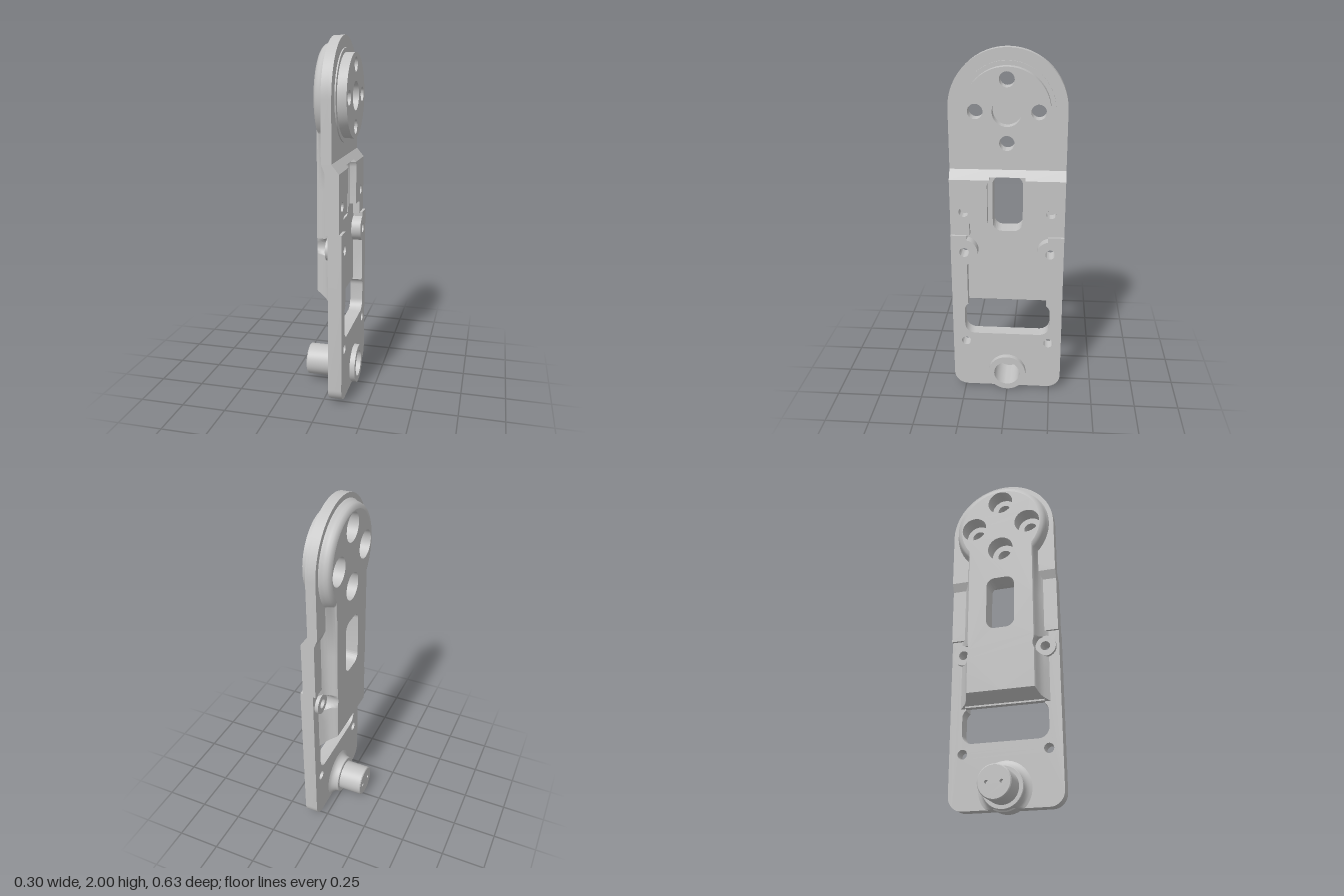
import * as THREE from 'three';
import { toCreasedNormals, mergeVertices } from 'three/addons/utils/BufferGeometryUtils.js';

const HEAD_Y = 1.686, PIN_Y = 0.123, SCREW_Z = 0.24, SCREW_Y = 0.89;

// Closed circle path, used both as outline and as hole
function circle(z, y, r, Type = THREE.Path) {
  const p = new Type();
  p.absarc(z, y, r, 0, Math.PI * 2, false);
  return p;
}

// Rounded rectangular path
function roundedSlot(w, y0, y1, r) {
  const p = new THREE.Path();
  p.absarc(w - r, y0 + r, r, -Math.PI / 2, 0, false);
  p.absarc(w - r, y1 - r, r, 0, Math.PI / 2, false);
  p.absarc(-w + r, y1 - r, r, Math.PI / 2, Math.PI, false);
  p.absarc(-w + r, y0 + r, r, Math.PI, Math.PI * 1.5, false);
  return p;
}

// Closed outline symmetric about z = 0 from its positive half
function mirrored(half) {
  const other = half.filter(p => Math.abs(p[0]) > 1e-6).reverse().map(([z, y]) => [-z, y]);
  return [...half, ...other];
}
const shapeOf = pts => new THREE.Shape(pts.map(p => new THREE.Vector2(p[0], p[1])));

function arcPoints(cz, cy, r, a0, a1, n) {
  return Array.from({ length: n + 1 }, (_, i) => {
    const a = a0 + (a1 - a0) * i / n;
    return [cz + r * Math.cos(a), cy + r * Math.sin(a)];
  });
}

// Four bolt holes around the head centre
const boltHoles = r => [0, 1, 2, 3].map(i => {
  const a = i * Math.PI / 2;
  return circle(0.165 * Math.cos(a), HEAD_Y + 0.165 * Math.sin(a), r);
});

// Outline of the raised back at one level: stem, screw notches and round head
function backOutline({ w, r, bot }) {
  const half = [[0, bot], [w, bot], [w, 0.75]];
  const nr = 0.055;
  half.push([w, SCREW_Y - nr - 0.001]);
  for (const [z, y] of arcPoints(SCREW_Z, SCREW_Y, nr, Math.PI * 1.5, Math.PI / 2, 16)) {
    half.push([Math.min(w, z), y]);
  }
  half.push([w, SCREW_Y + nr + 0.001], [w, 1.2]);
  const arc = arcPoints(0, HEAD_Y, r, -Math.acos(w / r), Math.PI / 2, 36);
  arc[36][0] = 0;
  return mirrored([...half, ...arc]);
}

export function createModel() {
  const group = new THREE.Group();
  const grey = new THREE.MeshStandardMaterial({ color: 0xc4c4c4, side: THREE.DoubleSide });
  grey.name = 'metal grey';

  function add(name, geometry, crease = 0.5) {
    const mesh = new THREE.Mesh(toCreasedNormals(geometry, crease), grey);
    mesh.name = name;
    group.add(mesh);
  }
  // Plate lying in the z-y plane between two x positions
  function slab(name, shape, x0, x1, holes = []) {
    shape.holes.push(...holes);
    const g = new THREE.ExtrudeGeometry(shape, { depth: x1 - x0, bevelEnabled: false, curveSegments: 24 });
    g.rotateY(Math.PI / 2).translate(x0, 0, 0);
    add(name, g);
  }
  // Turned part around the pivot axis, kept above a lowest height
  function turned(name, points, lowest) {
    const g = new THREE.LatheGeometry(points.map(p => new THREE.Vector2(p[0], p[1])), 48);
    g.rotateZ(-Math.PI / 2).translate(0, PIN_Y, 0);
    const p = g.attributes.position;
    for (let i = 0; i < p.count; i++) p.setY(i, Math.max(lowest, p.getY(i)));
    add(name, g);
  }

  // Lower plate with the pocket and wide window cut in from the top
  const bossArc = arcPoints(SCREW_Z, SCREW_Y, 0.075, Math.PI * 0.56, Math.PI * 1.44, 16);
  const lowerHalf = [
    ...arcPoints(0.235, 0.10, 0.08, -Math.PI / 2, 0, 10),
    [0.315, 0.99], [0.225, 0.99], ...bossArc, [0.225, 0.575],
    ...arcPoints(0.195, 0.525, 0.05, Math.PI / 2 - 0.6, 0, 6),
    ...arcPoints(0.185, 0.435, 0.06, 0, -Math.PI / 2, 8),
  ];
  const lowerHoles = [circle(0, PIN_Y, 0.075)];
  for (const s of [-1, 1]) for (const y of [0.32, SCREW_Y]) lowerHoles.push(circle(s * SCREW_Z, y, 0.027));
  slab('lowerPlate', shapeOf(mirrored(lowerHalf)), 0.04, 0.115, lowerHoles);

  // Middle plate halves, notched for the pocket and for the recess around the slot
  const midPoints = [
    [0.21, 0.985], [0.315, 0.985], [0.315, 1.31], [0.098, 1.31], [0.107, 1.295], [0.11, 1.28],
    [0.11, 1.065], [0.2, 1.065], [0.21, 1.055],
  ];
  for (const s of [1, -1]) {
    const name = s > 0 ? 'leftMiddlePlate' : 'rightMiddlePlate';
    const midShape = () => shapeOf(midPoints.map(([z, y]) => [-s * z, y]));
    slab(name + 'Back', midShape(), 0.025, 0.04);
    slab(name, midShape(), 0.04, 0.10, [circle(-s * SCREW_Z, 1.125, 0.027)]);
    // Seat under the screw counterbore
    slab('screwSeat', circle(s * SCREW_Z, SCREW_Y, 0.06, THREE.Shape), 0.02, 0.045,
      [circle(s * SCREW_Z, SCREW_Y, 0.027)]);
  }

  // Sloping shoulder between middle plate and head
  function shoulder(z0, z1, profile) {
    const g = new THREE.ExtrudeGeometry(shapeOf(profile), { depth: z1 - z0, bevelEnabled: false });
    add('shoulder', g.translate(0, 0, z0));
  }
  const fullSlope = [[0.025, 1.31], [0.10, 1.31], [0.06, 1.36], [0.005, 1.36]];
  shoulder(0.098, 0.315, fullSlope);
  shoulder(-0.315, -0.098, fullSlope);
  shoulder(-0.098, 0.098, [[0.018, 1.325], [0.088, 1.325], [0.06, 1.36], [0.005, 1.36]]);

  // Round-topped head plate, counterbored from the back
  const headShape = () => shapeOf([[-0.315, 1.36], [0.315, 1.36],
    ...arcPoints(0, HEAD_Y, 0.315, 0, Math.PI, 48)]);
  slab('headPlateBack', headShape(), 0.005, 0.045, boltHoles(0.076));
  slab('headPlate', headShape(), 0.045, 0.06, boltHoles(0.04));

  // Flange disc on the head
  for (const [name, r, x0, x1] of [['flangeBase', 0.252, 0.06, 0.067], ['flangeDisc', 0.228, 0.067, 0.118]]) {
    slab(name, circle(0, HEAD_Y, r, THREE.Shape), x0, x1, [circle(0, HEAD_Y, 0.078), ...boltHoles(0.04)]);
  }

  // Raised back: rounded flank lofted through outlines
  const levels = [
    { x: -0.05, w: 0.192, r: 0.245, bot: 0.635 },
    { x: -0.046, w: 0.195, r: 0.262, bot: 0.631 },
    { x: -0.035, w: 0.199, r: 0.272, bot: 0.624 },
    { x: -0.02, w: 0.204, r: 0.277, bot: 0.614 },
    { x: -0.006, w: 0.21, r: 0.281, bot: 0.605 },
    { x: 0.005, w: 0.216, r: 0.288, bot: 0.598 },
    { x: 0.02, w: 0.23, r: 0.29, bot: 0.588 },
    { x: 0.04, w: 0.255, r: 0.29, bot: 0.575 },
  ];
  const loops = levels.map(backOutline), n = loops[0].length;
  const pos = [], idx = [];
  loops.forEach((loop, k) => loop.forEach(([z, y]) => pos.push(levels[k].x, y, z)));
  for (let k = 0; k < loops.length - 1; k++) for (let i = 0; i < n; i++) {
    const a = k * n + i, b = k * n + (i + 1) % n;
    idx.push(a, a + n, b, b, a + n, b + n);
  }
  const flank = new THREE.BufferGeometry();
  flank.setAttribute('position', new THREE.Float32BufferAttribute(pos, 3));
  flank.setIndex(idx);
  add('raisedBackFlank', mergeVertices(flank), 0.7);

  // Raised back cap, and the pocket floor in front of it
  const slot = () => roundedSlot(0.083, 1.005, 1.325, 0.05);
  slab('raisedBackCap', shapeOf(loops[0]), -0.05, 0.03, [slot(), ...boltHoles(0.076)]);
  const floorHalf = [[0.225, 0.575], ...[...bossArc].reverse(), [0.225, 1.335]];
  slab('pocketFloor', shapeOf(mirrored(floorHalf)), 0.025, 0.06, [slot()]);

  // Pivot pin with hub at the back and bored boss at the front
  turned('pivotPin', [
    [0.085, -0.15], [0.09, -0.145], [0.09, -0.01], [0.11, -0.01], [0.113, -0.007], [0.113, 0.02],
    [0.12, 0.025], [0.12, 0.11], [0.11, 0.115], [0.11, 0.145], [0.075, 0.145], [0.075, -0.05], [0, -0.05],
  ], 0);
  turned('hubFlare', [[0.113, 0], [0.116, 0.015], [0.124, 0.028], [0.135, 0.036], [0.15, 0.041]], 0.02);
  slab('pinEnd', circle(0, PIN_Y, 0.085, THREE.Shape), -0.15, -0.12,
    [circle(0.04, PIN_Y, 0.01), circle(-0.04, PIN_Y, 0.01)]);
  slab('pinEndBacking', circle(0, PIN_Y, 0.085, THREE.Shape), -0.12, -0.11);

  return group;
}
